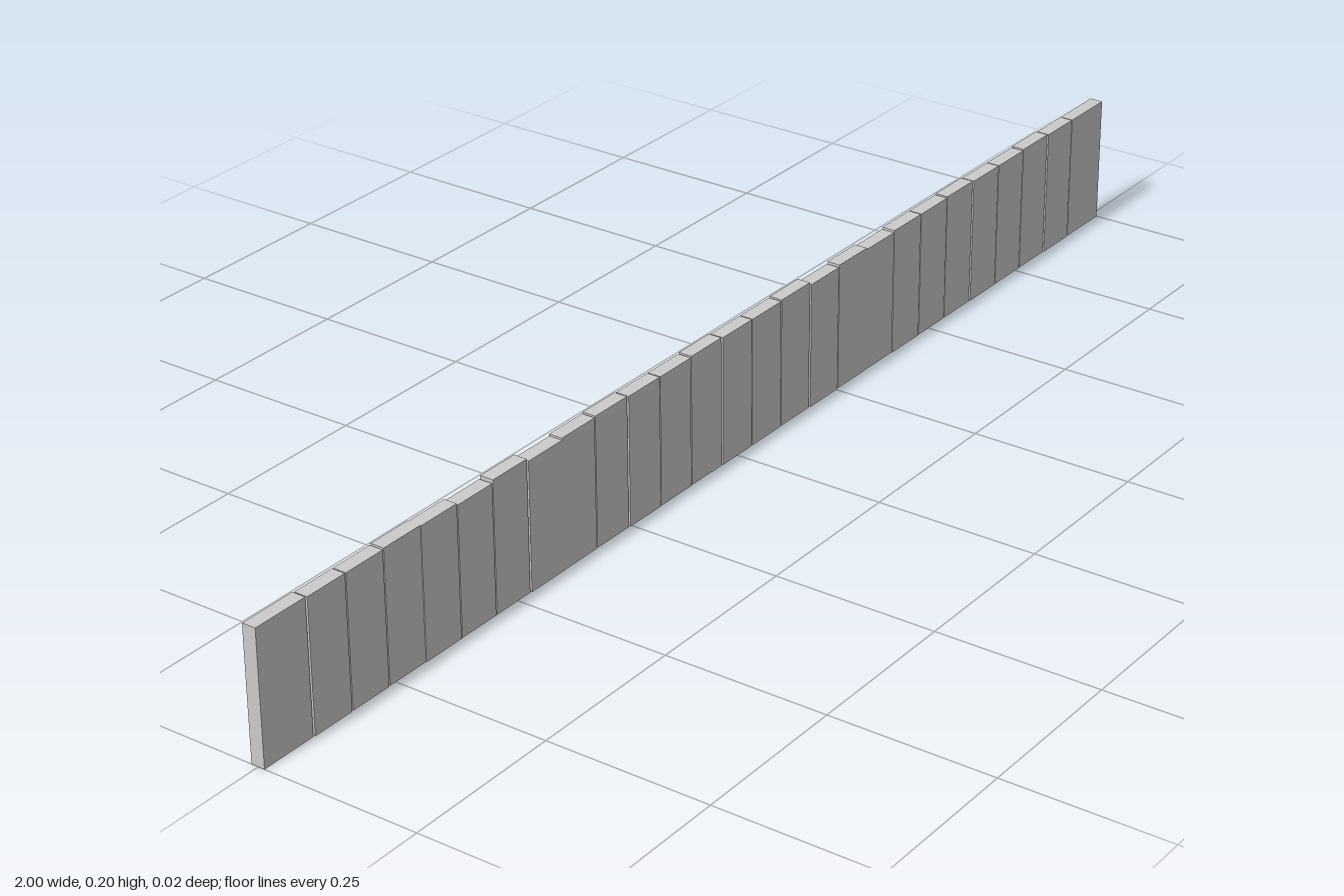
import * as THREE from 'three';

const COUNT = 27;        // upright planks side by side
const PITCH = 0.0726;    // spacing of the inner joints
const FIRST = -0.908;    // first joint
const DEPTH = 0.021;

// planks cut slightly shorter, and joints that are shut tight
const LOW = new Set([5, 7, 16, 18]);
const TIGHT = new Set([3, 7, 17, 18]);

export function createModel() {
  const fence = new THREE.Group();
  fence.name = 'plankFence';
  const material = new THREE.MeshStandardMaterial({ color: 0xcccccc });

  const joint = (k) => FIRST + k * PITCH;
  const halfGap = (k) => (TIGHT.has(k) ? 0.0002 : 0.0012);

  for (let i = 0; i < COUNT; i++) {
    // joint i - 1 is on the left edge, joint i on the right; end planks are wider
    const x0 = i === 0 ? -1 : joint(i - 1) + halfGap(i - 1);
    const x1 = i === COUNT - 1 ? 1 : joint(i) - halfGap(i);
    const height = LOW.has(i) ? 0.196 : 0.2 - 0.0006 * ((i * 7) % 3);
    const plank = new THREE.Mesh(new THREE.BoxGeometry(x1 - x0, height, DEPTH), material);
    plank.position.set((x0 + x1) / 2, height / 2, 0.0005 * (((i * 5) % 3) - 1));
    plank.name = 'plank' + (i + 1);
    fence.add(plank);
  }
  return fence;
}
